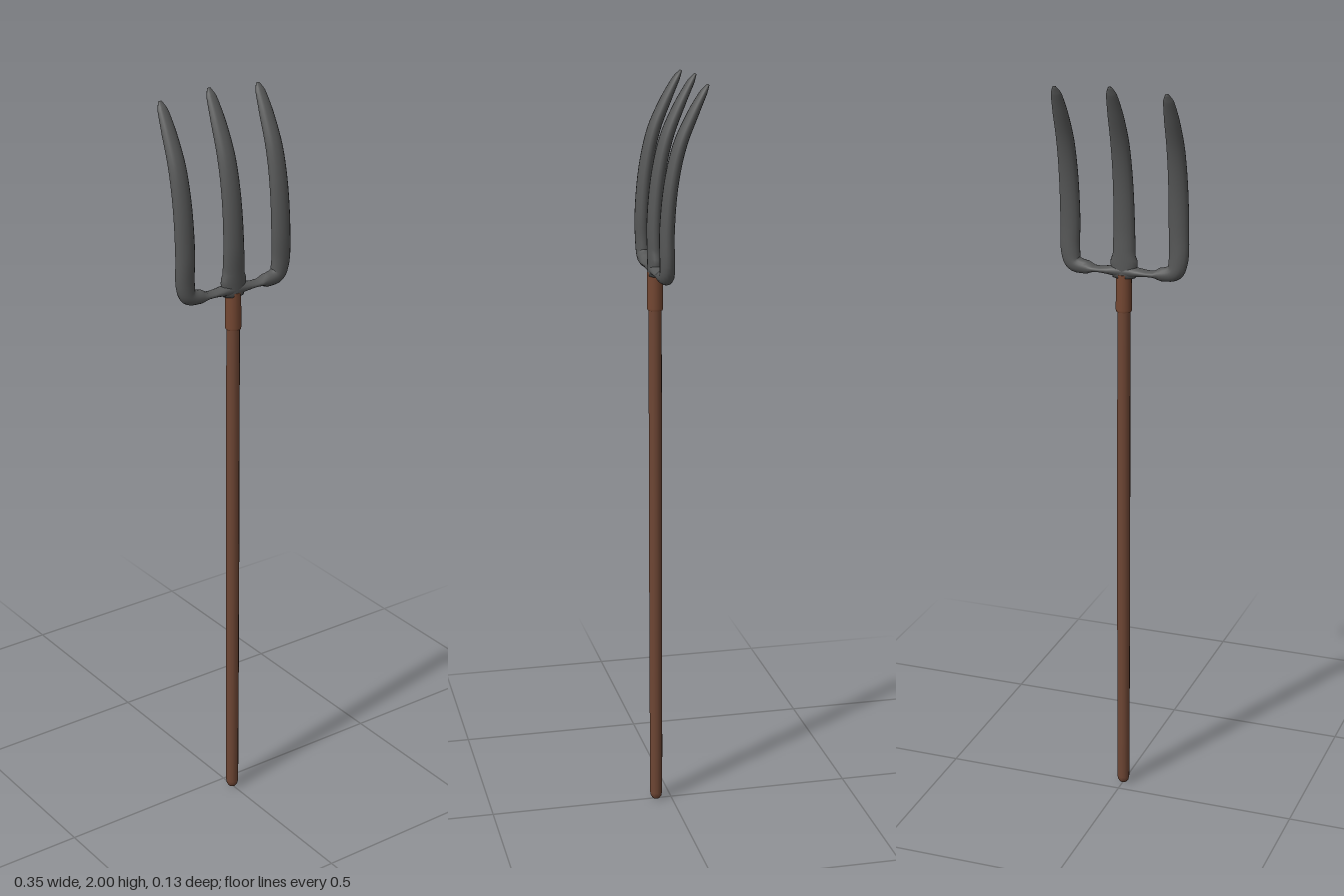
import * as THREE from 'three';

const wood = new THREE.MeshStandardMaterial({ color: 0x6e4634 });
wood.name = 'brownWood';
const collarMat = new THREE.MeshStandardMaterial({ color: 0x744732 });
collarMat.name = 'reddishCollar';
const iron = new THREE.MeshStandardMaterial({ color: 0x565757 });
iron.name = 'darkIron';

const AXIS_Z = 0.042;

// Sweeps an oval along a path; each row is x, y, z, half width, half depth
function sweep(rows, stepsPerRow = 5, sides = 16) {
  const path = new THREE.CatmullRomCurve3(rows.map(r => new THREE.Vector3(r[0], r[1], r[2])));
  const size = new THREE.CatmullRomCurve3(rows.map(r => new THREE.Vector3(r[3], r[4], 0)));
  const steps = (rows.length - 1) * stepsPerRow;
  const pos = [], idx = [];
  const Z = new THREE.Vector3(0, 0, 1);
  for (let i = 0; i <= steps; i++) {
    const t = i / steps;
    const p = path.getPoint(t), T = path.getTangent(t), s = size.getPoint(t);
    const N = new THREE.Vector3().crossVectors(Z, T).normalize();
    const B = new THREE.Vector3().crossVectors(T, N);
    for (let j = 0; j < sides; j++) {
      const a = (j / sides) * Math.PI * 2;
      const v = p.clone().addScaledVector(N, s.x * Math.cos(a)).addScaledVector(B, s.y * Math.sin(a));
      pos.push(v.x, v.y, v.z);
      if (i < steps) {
        const k = (j + 1) % sides, q = i * sides, n = q + sides;
        idx.push(q + j, q + k, n + j, q + k, n + k, n + j);
      }
    }
  }
  // End caps
  const c = pos.length / 3, last = steps * sides;
  pos.push(...rows[0].slice(0, 3), ...rows[rows.length - 1].slice(0, 3));
  for (let j = 0; j < sides; j++) {
    const k = (j + 1) % sides;
    idx.push(c, k, j, c + 1, last + j, last + k);
  }
  const g = new THREE.BufferGeometry();
  g.setAttribute('position', new THREE.Float32BufferAttribute(pos, 3));
  g.setIndex(idx);
  g.computeVertexNormals();
  return g;
}

function lathe(points, sides) {
  return new THREE.LatheGeometry(points.map(p => new THREE.Vector2(p[0], p[1])), sides);
}

export function createModel() {
  const model = new THREE.Group();
  const add = (name, geometry, material, z = 0) => {
    const m = new THREE.Mesh(geometry, material);
    m.name = name;
    m.position.z = z;
    model.add(m);
  };

  // Long shaft with a rounded butt
  add('handle', lathe([[0, 0], [0.01, 0.002], [0.015, 0.009], [0.017, 0.02], [0.0175, 0.13],
    [0.018, 0.7], [0.0175, 1.42]], 12), wood, AXIS_Z);

  // Socket between shaft and fork head
  add('collar', lathe([[0.016, 1.394], [0.02, 1.394], [0.02, 1.394], [0.0215, 1.4],
    [0.0205, 1.495], [0.0205, 1.495], [0, 1.495]], 16), collarMat, AXIS_Z);

  // Crossbar and both outer tines as one bent piece
  const half = [
    [0.148, 1.991, -0.061, 0.005, 0.003],
    [0.148, 1.972, -0.049, 0.014, 0.009],
    [0.148, 1.92, -0.022, 0.020, 0.014],
    [0.148, 1.84, 0.012, 0.024, 0.017],
    [0.148, 1.74, 0.034, 0.026, 0.018],
    [0.148, 1.62, 0.044, 0.027, 0.019],
    [0.148, 1.545, 0.043, 0.026, 0.019],
    [0.138, 1.513, AXIS_Z, 0.023, 0.019],
    [0.1, 1.503, AXIS_Z, 0.0175, 0.019],
  ];
  const mirrored = half.map(([x, ...r]) => [-x, ...r]).reverse();
  add('crossbarAndOuterTines', sweep([...half, [0, 1.503, AXIS_Z, 0.0175, 0.019], ...mirrored]), iron);

  // Middle tine
  add('middleTine', sweep([
    [0, 1.486, AXIS_Z, 0.031, 0.019],
    [0, 1.545, 0.043, 0.031, 0.019],
    [0, 1.62, 0.044, 0.029, 0.019],
    [0, 1.74, 0.034, 0.027, 0.018],
    [0, 1.84, 0.012, 0.025, 0.017],
    [0, 1.92, -0.021, 0.021, 0.014],
    [0, 1.98, -0.052, 0.014, 0.009],
    [0, 2.0, -0.064, 0.005, 0.003],
  ]), iron);

  return model;
}
